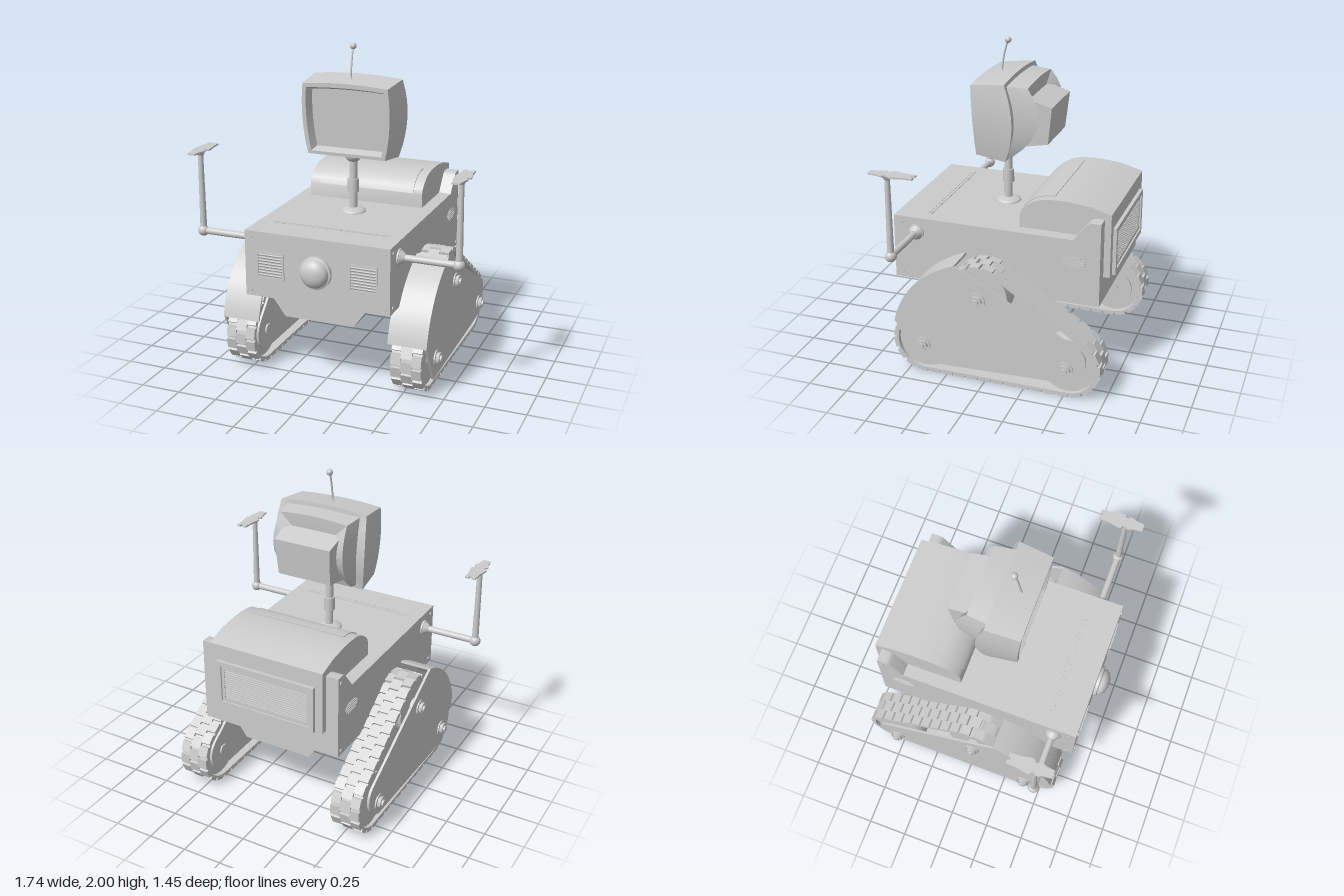
import * as THREE from 'three';
import { mergeGeometries, toCreasedNormals } from 'three/addons/utils/BufferGeometryUtils.js';

const grey = new THREE.MeshStandardMaterial({ color: 0xcccccc });
const V = (x, y, z) => new THREE.Vector3(x, y, z);

export function createModel() {
  const root = new THREE.Group();

  // ---- helpers ----
  function add(name, geo, x = 0, y = 0, z = 0) {
    const m = new THREE.Mesh(geo, grey);
    m.name = name;
    m.position.set(x, y, z);
    root.add(m);
    return m;
  }
  const box = (name, w, h, d, x, y, z) => add(name, new THREE.BoxGeometry(w, h, d), x, y, z);
  const ball = (name, r, x, y, z) => add(name, new THREE.SphereGeometry(r, 24, 16), x, y, z);
  // cylinder between two points
  function rod(name, a, b, ra, rb = ra, sides = 20) {
    const m = add(name, new THREE.CylinderGeometry(rb, ra, a.distanceTo(b), sides));
    m.position.copy(a).lerp(b, 0.5);
    m.quaternion.setFromUnitVectors(V(0, 1, 0), b.clone().sub(a).normalize());
    return m;
  }
  const poly = pts => new THREE.Shape(pts.map(p => new THREE.Vector2(p[0], p[1])));
  // profile in (z, y), swept along x from x0 to x1
  function sweepX(name, shape, x0, x1) {
    const lo = Math.min(x0, x1), w = Math.abs(x1 - x0);
    let g = new THREE.ExtrudeGeometry(shape, { depth: w, bevelEnabled: false, curveSegments: 20 });
    g = toCreasedNormals(g.rotateY(-Math.PI / 2).translate(lo + w, 0, 0), 0.6);
    return add(name, g);
  }
  // rectangular frame facing z
  function frame(name, w, h, border, depth, x, y, z) {
    const rect = (a, b) => [[-a, -b], [a, -b], [a, b], [-a, b]];
    const s = poly(rect(w / 2, h / 2));
    s.holes.push(poly(rect(w / 2 - border, h / 2 - border)));
    return add(name, new THREE.ExtrudeGeometry(s, { depth, bevelEnabled: false }), x, y, z);
  }
  // skin over a list of equal-length loops, closed at both ends
  function loft(name, loops) {
    const n = loops[0].length, pos = [], idx = [];
    loops.forEach(l => l.forEach(p => pos.push(p.x, p.y, p.z)));
    for (let i = 0; i < loops.length - 1; i++)
      for (let j = 0; j < n; j++) {
        const k = (j + 1) % n, a = i * n + j, b = i * n + k;
        idx.push(a, b, b + n, a, b + n, a + n);
      }
    [0, loops.length - 1].forEach((i, end) => {
      const c = loops[i].reduce((s, p) => s.add(p), V(0, 0, 0)).divideScalar(n), ci = pos.length / 3;
      pos.push(c.x, c.y, c.z);
      for (let j = 0; j < n; j++) {
        const a = i * n + j, b = i * n + (j + 1) % n;
        end ? idx.push(ci, a, b) : idx.push(ci, b, a);
      }
    });
    const g = new THREE.BufferGeometry();
    g.setAttribute('position', new THREE.Float32BufferAttribute(pos, 3));
    g.setIndex(idx);
    return add(name, toCreasedNormals(g, 0.5));
  }

  // ---- body ----
  box('body', 0.92, 0.41, 1.3, 0, 0.745, -0.01);
  box('frontPlate', 0.92, 0.41, 0.008, 0, 0.745, 0.642);
  const hump = [[-0.14, 0.9], [-0.14, 1.035], [-0.155, 1.07], [-0.19, 1.1], [-0.235, 1.128], [-0.285, 1.143],
    [-0.36, 1.15], [-0.445, 1.15], [-0.58, 1.135], [-0.7, 1.1], [-0.7, 0.7], [-0.6, 0.7]];
  sweepX('rearHousing', poly(hump), -0.38, 0.38);
  const hatch = hump.slice(1, 6).map(p => [p[0] + 0.003, p[1] + 0.005]);
  sweepX('housingHatch', poly([...hatch, [-0.34, 1.153], [-0.34, 1.1], [-0.2, 1.04]]), -0.32, 0.32);
  loft('belly', [-0.59, 0.61].map(z => [[-0.22, 0.42], [0.22, 0.42], [0.31, 0.545], [-0.31, 0.545]].map(p => V(p[0], p[1], z))));
  rod('axle', V(-0.46, 0.37, 0), V(0.46, 0.37, 0), 0.016);
  box('axleBlock', 0.23, 0.09, 0.2, 0, 0.37, 0);

  // top slot and its row of ribs
  box('topSlot', 0.755, 0.006, 0.012, 0, 0.951, 0.435);
  for (let i = 0; i < 16; i++) box('topSlotRib', 0.025, 0.005, 0.012, -0.345 + i * 0.046, 0.951, 0.455);

  // rear grille
  frame('grilleFrame', 0.66, 0.3, 0.03, 0.022, 0, 0.85, -0.722);
  frame('grilleInnerFrame', 0.6, 0.24, 0.018, 0.012, 0, 0.85, -0.712);
  for (let i = 0; i < 14; i++) box('grilleSlat', 0.57, 0.007, 0.01, 0, 0.752 + i * 0.0151, -0.706);

  // nose lamp
  const nose = [[0.1, 0], [0.1, 0.025], [0.088, 0.03]];
  for (let i = 0; i <= 8; i++) nose.push([0.087 * Math.cos(i * Math.PI / 16), 0.033 + 0.052 * Math.sin(i * Math.PI / 16)]);
  nose[nose.length - 1][0] = 0;
  add('noseLamp', toCreasedNormals(new THREE.LatheGeometry(nose.map(p => new THREE.Vector2(p[0], p[1])), 32)
    .rotateX(Math.PI / 2), 0.6), 0, 0.745, 0.64);

  // ---- neck ----
  const nz = 0.065;
  const neckBase = add('neckBase', new THREE.SphereGeometry(0.08, 28, 8, 0, Math.PI * 2, 0, Math.PI / 2), 0, 0.95, nz);
  neckBase.scale.y = 0.35;
  rod('neckPost', V(0, 0.95, nz), V(0, 1.3, nz), 0.025);
  rod('neckCollar', V(0, 1.075, nz), V(0, 1.16, nz), 0.035);
  ball('neckBall', 0.055, 0, 1.32, nz);

  // ---- head: bowed four-sided loops, z given at bottom, middle and top ----
  function ring(y0, y1, wb, wt, bow, zb, zm, zt) {
    const pts = [], N = 8;
    const at = (u, t) => {
      const w = wb + (wt - wb) * t + bow * 4 * t * (1 - t);
      const y = y0 + (y1 - y0) * t + 0.7 * bow * t * (1 - u * u);
      const z = zb * (1 - t) * (1 - 2 * t) + zm * 4 * t * (1 - t) + zt * t * (2 * t - 1);
      return V(u * w, y, z);
    };
    for (let i = 0; i < N; i++) pts.push(at(-1 + 2 * i / N, 0));
    for (let i = 0; i < N; i++) pts.push(at(1, i / N));
    for (let i = 0; i < N; i++) pts.push(at(1 - 2 * i / N, 1));
    for (let i = 0; i < N; i++) pts.push(at(-1, 1 - i / N));
    return pts;
  }
  loft('screenHousing', [
    ring(1.305, 1.785, 0.27, 0.288, 0.025, -0.01, -0.062, -0.01),
    ring(1.325, 1.762, 0.25, 0.272, 0.02, 0.182, 0.192, 0.205),
    ring(1.345, 1.738, 0.228, 0.25, 0.015, 0.184, 0.193, 0.204),
    ring(1.365, 1.722, 0.212, 0.232, 0.012, 0.13, 0.14, 0.15),
  ]);
  loft('screenBack', [
    ring(1.315, 1.757, 0.2, 0.225, 0.02, -0.03, -0.2, -0.135),
    ring(1.315, 1.767, 0.23, 0.245, 0.015, 0.02, 0, 0.02),
  ]);
  loft('rearBox', [
    ring(1.41, 1.64, 0.175, 0.185, 0, -0.245, -0.258, -0.27),
    ring(1.38, 1.685, 0.18, 0.19, 0, -0.08, -0.1, -0.12),
  ]);
  const whip = new THREE.QuadraticBezierCurve3(V(0, 1.77, 0.107), V(0, 1.9, 0.095), V(0, 1.98, 0.065));
  add('antenna', new THREE.TubeGeometry(whip, 16, 0.006, 8));
  rod('antennaBase', V(0, 1.765, 0.107), V(0, 1.795, 0.105), 0.02, 0.008);
  ball('antennaTip', 0.02, 0, 1.98, 0.065);

  // ---- track loop around three wheel centres, in (z, y) ----
  const hubs = [[0.39, 0.205], [0.03, 0.565], [-0.52, 0.205]];
  function loop(r) {
    const s = new THREE.Shape();
    let from = -Math.PI / 2;
    hubs.forEach((h, i) => {
      const q = hubs[(i + 1) % 3];
      let to = Math.atan2(h[0] - q[0], q[1] - h[1]);
      if (to < from) to += Math.PI * 2;
      s.absarc(h[0], h[1], r, from, to, false);
      from = to;
    });
    s.closePath();
    return s;
  }
  const treadPath = loop(0.195);
  function treads(x) {
    const parts = [], N = 40;
    for (let i = 0; i < N; i++)
      [[-0.064, 0.062, 0], [0, 0.07, 0.5], [0.064, 0.062, 0]].forEach(([dx, w, shift]) => {
        const t = (i + shift + 0.25) / N, p = treadPath.getPoint(t), d = treadPath.getTangent(t);
        parts.push(new THREE.BoxGeometry(w, 0.018, 0.066).rotateX(Math.atan2(-d.y, d.x)).translate(x + dx, p.y, p.x));
      });
    return mergeGeometries(parts);
  }

  // outer side plate and fender outlines
  const plate = new THREE.Shape();
  plate.moveTo(0.175, 0.765);
  plate.quadraticCurveTo(0.5, 0.64, 0.57, 0.335);
  plate.lineTo(0.43, 0.08);
  plate.lineTo(-0.5, 0.11);
  plate.bezierCurveTo(-0.61, 0.13, -0.7, 0.27, -0.6, 0.35);
  plate.closePath();
  const fender = new THREE.Shape();
  fender.moveTo(0.175, 0.77);
  fender.quadraticCurveTo(0.506, 0.645, 0.576, 0.333);
  fender.lineTo(0.562, 0.333);
  fender.quadraticCurveTo(0.492, 0.632, 0.172, 0.756);

  // ---- parts on both sides ----
  for (const s of [1, -1]) {
    const P = (x, y, z) => V(s * x, y, z);

    const belt = loop(0.19);
    belt.holes.push(loop(0.175));
    sweepX('trackBelt', belt, s * 0.445, s * 0.635);
    add('trackTreads', treads(s * 0.54));
    sweepX('outerTrackPlate', plate, s * 0.647, s * 0.662);
    sweepX('innerTrackPlate', loop(0.125), s * 0.455, s * 0.47);
    sweepX('fender', fender, s * 0.42, s * 0.662);
    for (const [z, y] of hubs) {
      rod('trackWheel', P(0.475, y, z), P(0.615, y, z), 0.172, 0.172, 32);
      rod('wheelHub', P(0.46, y, z), P(0.65, y, z), 0.05);
      rod('hubWasher', P(0.66, y, z), P(0.67, y, z), 0.05);
      rod('hubNut', P(0.67, y, z), P(0.69, y, z), 0.038, 0.038, 6);
      rod('hubBolt', P(0.69, y, z), P(0.702, y, z), 0.02);
      rod('innerHubNut', P(0.455, y, z), P(0.445, y, z), 0.038, 0.038, 6);
    }

    // raised rear corner of the body
    sweepX('rearFin', poly([[-0.49, 0.94], [-0.5, 0.957], [-0.575, 1.05], [-0.59, 1.065], [-0.61, 1.07],
      [-0.66, 1.07], [-0.66, 0.94]]), s * 0.37, s * 0.46);

    // front vent
    frame('frontVentFrame', 0.18, 0.17, 0.012, 0.008, s * 0.295, 0.745, 0.645);
    for (let i = 0; i < 8; i++) box('frontVentSlat', 0.155, 0.009, 0.008, s * 0.295, 0.682 + i * 0.018, 0.647).rotation.x = 0.5;

    // oval side vent
    const oval = rod('sideVent', P(0.458, 0.81, -0.5), P(0.463, 0.81, -0.5), 0.036, 0.036, 32);
    oval.scale.z = 2;
    for (let i = -2; i <= 2; i++)
      box('sideVentSlat', 0.008, 0.006, 0.145 * Math.sqrt(1 - i * i / 6.5), s * 0.464, 0.81 + i * 0.014, -0.5);

    // corner screws
    for (const y of [0.575, 0.91]) rod('frontScrew', P(0.425, y, 0.64), P(0.425, y, 0.652), 0.011, 0.011, 10);
    for (const [y, z] of [[0.575, 0.6], [0.91, 0.6], [0.57, -0.63], [1.03, -0.63]])
      rod('sideScrew', P(0.455, y, z), P(0.466, y, z), 0.011, 0.011, 10);

    // arm
    rod('shoulderFlange', P(0.455, 0.855, 0.5), P(0.47, 0.855, 0.5), 0.052);
    rod('shoulderCone', P(0.47, 0.855, 0.5), P(0.5, 0.855, 0.5), 0.046, 0.024);
    rod('upperArm', P(0.46, 0.855, 0.5), P(0.82, 0.855, 0.5), 0.021);
    ball('elbow', 0.035, s * 0.82, 0.855, 0.5);
    rod('forearm', P(0.82, 0.855, 0.5), P(0.82, 1.345, 0.5), 0.021, 0.016);
    rod('wrist', P(0.82, 1.335, 0.5), P(0.82, 1.362, 0.5), 0.018, 0.032);

    // flat notched hand, drawn in (x, -z)
    const half = [[0.024, -0.11], [0.032, -0.05], [0.042, -0.03], [0.042, -0.012], [0.03, -0.005], [0.03, 0.01],
      [0.048, 0.02], [0.048, 0.045], [0.036, 0.1], [0.033, 0.168]];
    const hand = poly([...half, [0.01, 0.168], [0.006, 0.15], [-0.006, 0.15], [-0.01, 0.168],
      ...half.map(p => [-p[0], p[1]]).reverse()]);
    add('hand', new THREE.ExtrudeGeometry(hand, { depth: 0.01, bevelEnabled: false }).rotateX(-Math.PI / 2), s * 0.82, 1.36, 0.5);
  }
  return root;
}
